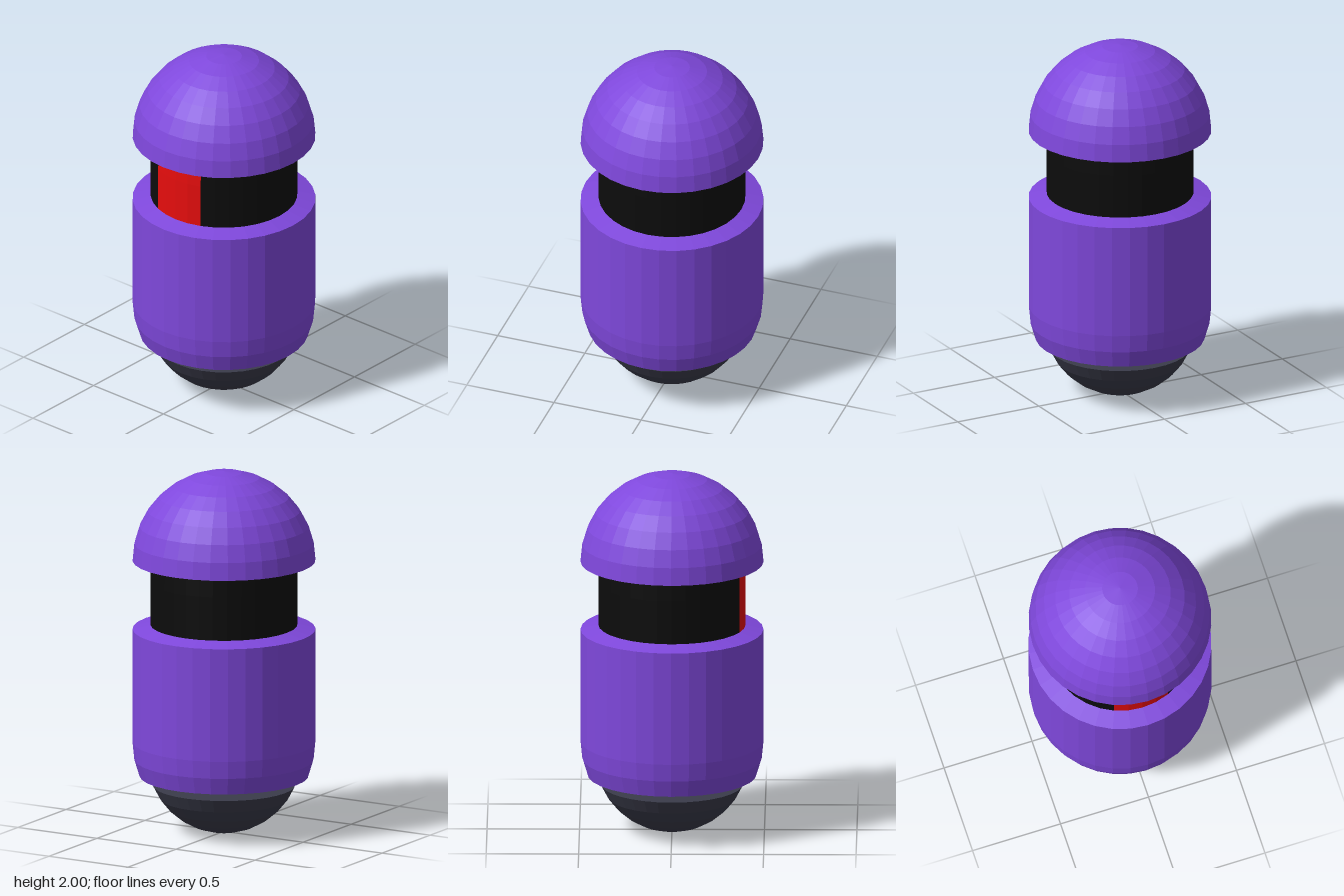
import * as THREE from 'three';

const SIDES = 32;
const STEP = Math.PI / 16;
const R = 0.495;

const paint = (color) => new THREE.MeshStandardMaterial({ color, flatShading: true });

// Points of a sphere's profile, from ring a to ring b, counted up from the bottom pole
function arc(radius, centreY, a, b) {
  const points = [];
  for (let i = a; i <= b; i++) {
    points.push([radius * Math.sin(i * STEP), centreY - radius * Math.cos(i * STEP)]);
  }
  return points;
}

// Turned part from [radius, y] points listed bottom to top
function turned(name, points, material, sides = SIDES, start = 0) {
  const profile = points.map(([r, y]) => new THREE.Vector2(Math.max(r, 0), y));
  const geometry = new THREE.LatheGeometry(profile, sides, start, sides * 2 * Math.PI / SIDES);
  const mesh = new THREE.Mesh(geometry, material);
  mesh.name = name;
  return mesh;
}

export function createModel() {
  const model = new THREE.Group();
  model.name = 'capsuleRobot';

  const purple = paint(0x7f48dc);

  // Domed head with a slightly sloping underside
  const head = turned('head', [[0, 1.49], [0.4, 1.49], ...arc(R, 1.505, 8, 16)], purple);

  // Barrel body: flat bottom, rounded lower edge, sloping shoulder
  const body = turned('body',
    [[0, 0.31], ...arc(R, 0.5, 6, 8), [R, 1.125], [0.397, 1.15], [0, 1.15]], purple);

  // Visor band round the neck, with a red window of four facets at the front
  const band = [[0.398, 1.15], [0.398, 1.39], [0.395, 1.49]];
  const visor = turned('visorBand', band, paint(0x0c0c0c), 28, 2 * STEP);
  const eye = turned('visorWindow', band, paint(0xe60d0d), 4, -2 * STEP);

  // Floating bowl below the body, closed on top
  const bowl = arc(0.417, 0.417, 0, 6);
  const base = turned('hoverBase', [...bowl, [0, bowl[6][1]]], paint(0x3a3b4a));

  model.add(head, body, visor, eye, base);
  return model;
}
